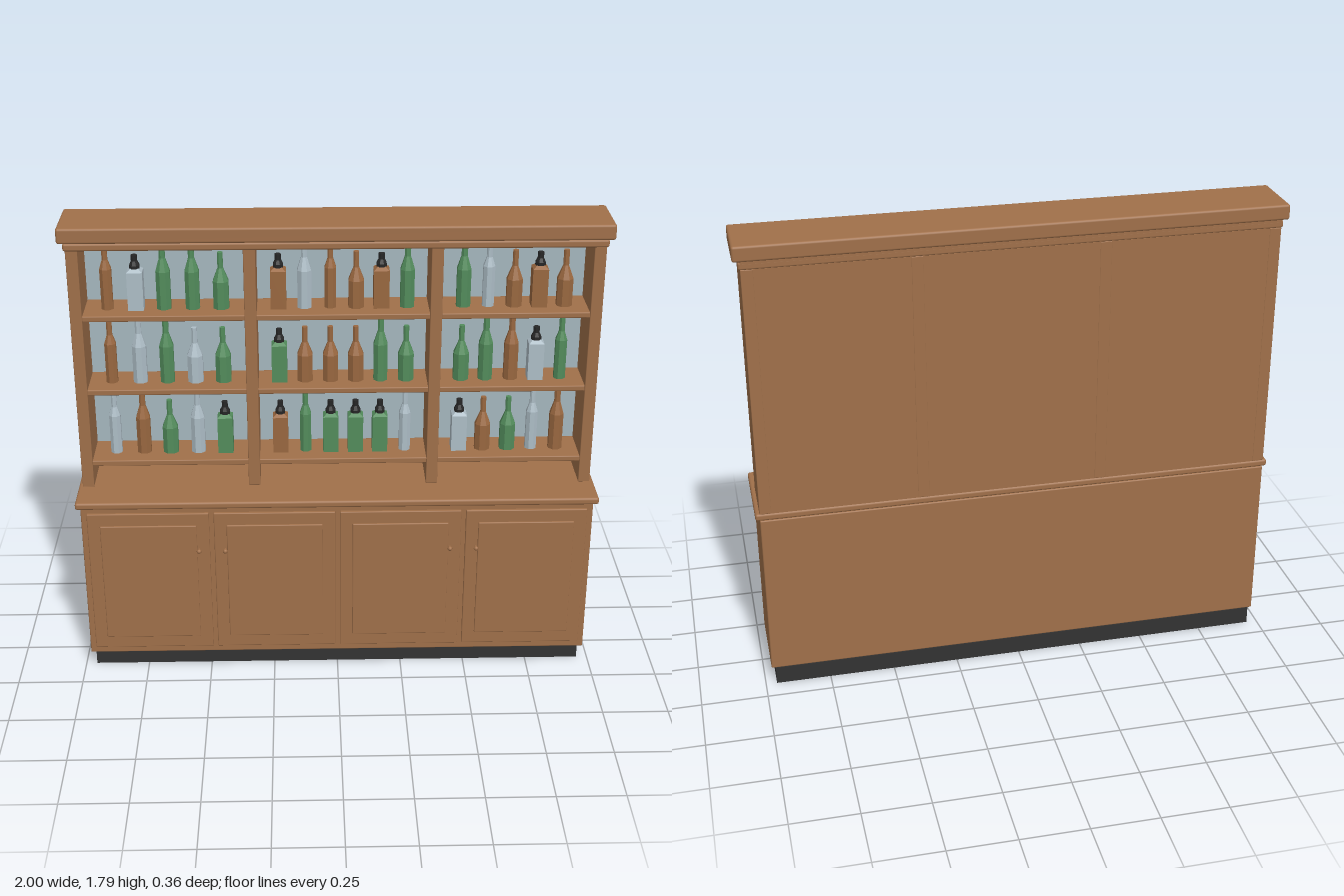
import * as THREE from 'three';
import { RoundedBoxGeometry } from 'three/addons/geometries/RoundedBoxGeometry.js';

const mat = (name, color) => {
  const m = new THREE.MeshStandardMaterial({ color });
  m.name = name;
  return m;
};

// Faceted solid of revolution from [radius, height] pairs
function faceted(points, sides) {
  const g = new THREE.LatheGeometry(
    points.map(([r, y]) => new THREE.Vector2(r, y)), sides, Math.PI / sides).toNonIndexed();
  g.computeVertexNormals();
  return g;
}

// Bottle shapes: T slim, W tall, M medium, S square with a stopper
const roundBottle = (r, shoulder, neck, h, rn) => faceted(
  [[0, 0], [r, 0], [r, shoulder], [rn, neck], [rn, h], [0, h]], 8);

export function createModel() {
  const root = new THREE.Group();
  root.name = 'backBar';
  const wood = mat('wood', 0xa0704a);
  const plinthMat = mat('dark plinth', 0x333333);
  const mirrorMat = mat('mirror', 0xa6b7bf);
  const capMat = mat('black cap', 0x262626);
  const glass = {
    b: mat('brown glass', 0x9a6840),
    g: mat('green glass', 0x538c5c),
    c: mat('clear glass', 0xaebec7),
  };

  function add(name, geometry, material, x = 0, y = 0, z = 0, parent = root) {
    const m = new THREE.Mesh(geometry, material);
    m.name = name;
    m.position.set(x, y, z);
    parent.add(m);
    return m;
  }
  // Box given by its limits, with an optional rounded edge
  function box(name, x0, x1, y0, y1, z0, z1, material = wood, r = 0, parent = root) {
    const s = [x1 - x0, y1 - y0, z1 - z0];
    const g = r ? new RoundedBoxGeometry(...s, 2, r) : new THREE.BoxGeometry(...s);
    return add(name, g, material, (x0 + x1) / 2, (y0 + y1) / 2, (z0 + z1) / 2, parent);
  }

  // Lower cabinet
  box('plinth', -0.958, 0.958, 0, 0.07, -0.171, 0.118, plinthMat);
  box('cabinet', -0.974, 0.974, 0.07, 0.72, -0.171, 0.148, wood, 0.005);
  box('counter', -0.99, 0.99, 0.72, 0.748, -0.171, 0.175, wood, 0.009);

  // Four doors, each with a raised panel and a knob
  const knobGeo = new THREE.SphereGeometry(0.009, 12, 8);
  const stemGeo = new THREE.CylinderGeometry(0.005, 0.005, 0.02, 10).rotateX(Math.PI / 2);
  [[-0.72, 1], [-0.24, -1], [0.24, 1], [0.72, -1]].forEach(([x, side]) => {
    const door = new THREE.Group();
    door.name = 'door';
    root.add(door);
    box('doorFrame', x - 0.231, x + 0.231, 0.1, 0.693, 0.144, 0.159, wood, 0.004, door);
    box('doorPanel', x - 0.183, x + 0.183, 0.15, 0.643, 0.152, 0.165, wood, 0.004, door);
    add('knobStem', stemGeo, wood, x + side * 0.19, 0.537, 0.165, door);
    add('knob', knobGeo, wood, x + side * 0.19, 0.537, 0.174, door);
  });

  // Upper case: back, mirror, uprights
  box('backPanel', -0.96, 0.96, 0.748, 1.7, -0.17, -0.152);
  box('mirror', -0.93, 0.93, 0.772, 1.7, -0.152, -0.146, mirrorMat);
  [-0.952, -0.316, 0.364, 0.952].forEach((x) =>
    box('upright', x - 0.022, x + 0.022, 0.748, 1.7, -0.171, 0.035, wood, 0.003));

  // Cornice
  box('corniceMolding', -0.981, 0.981, 1.698, 1.727, -0.171, 0.045, wood, 0.008);
  box('corniceNeck', -0.974, 0.974, 1.72, 1.735, -0.171, 0.037);
  box('cornice', -1, 1, 1.73, 1.788, -0.18, 0.06, wood, 0.009);

  // Shelves in three bays
  const shelfTops = [1.444, 1.15, 0.856];
  shelfTops.forEach((y) => {
    [[-0.932, -0.336], [-0.296, 0.344], [0.384, 0.932]].forEach(([a, b]) =>
      box('shelf', a, b, y - 0.022, y, -0.148, 0.03, wood, 0.004));
  });

  // Bottles
  const shapes = {
    T: roundBottle(0.023, 0.155, 0.19, 0.25, 0.011),
    W: roundBottle(0.028, 0.145, 0.195, 0.262, 0.012),
    M: roundBottle(0.031, 0.105, 0.155, 0.215, 0.011),
    S: faceted([[0, 0], [0.041, 0], [0.041, 0.146], [0.02, 0.158], [0, 0.158]], 4),
  };
  const capGeo = faceted([[0, 0], [0.02, 0], [0.02, 0.012], [0.012, 0.028],
    [0.012, 0.05], [0, 0.05]], 8);
  const xs = [-0.845, -0.738, -0.636, -0.53, -0.425, -0.214, -0.118, -0.022,
    0.073, 0.166, 0.262, 0.47, 0.562, 0.658, 0.75, 0.845];
  // Colour and shape for each bottle, from top shelf to bottom
  const rows = [
    'bT cS gW gW gM bS cW bT bM bS gW gW cT bM bS bM',
    'bT cW gW cM gM gS bM bM bM gW gM gM gW bW cS gT',
    'cT bW gM cW gS bS gT gS gS gS cT cS bM gM cT bW',
  ];
  const bottles = new THREE.Group();
  bottles.name = 'bottles';
  root.add(bottles);
  rows.forEach((row, i) => row.split(' ').forEach(([colour, shape], j) => {
    add('bottle', shapes[shape], glass[colour], xs[j], shelfTops[i], -0.055, bottles);
    if (shape === 'S') {
      add('bottleCap', capGeo, capMat, xs[j], shelfTops[i] + 0.157, -0.055, bottles);
    }
  }));

  return root;
}
